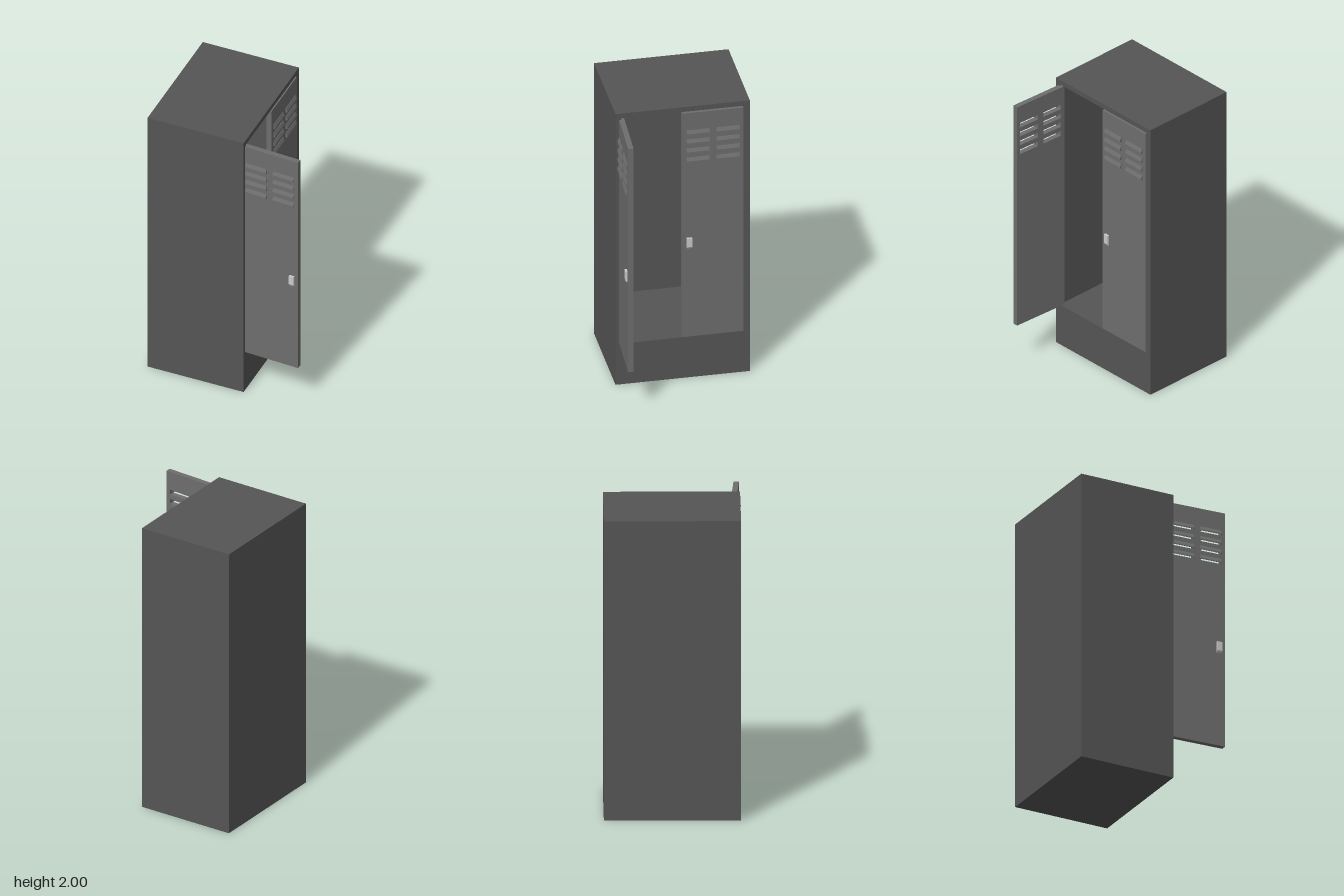
import * as THREE from 'three';

const paint = (color) => new THREE.MeshStandardMaterial({ color });
const bodyMat = paint(0x555555);
const doorMat = paint(0x6e6e6e);
const handleMat = paint(0xcccccc);

const DOOR = { width: 0.4, bottom: 0.305, top: 1.955, thick: 0.035 };

function rect(Type, x0, y0, x1, y1) {
  return new Type([[x0, y0], [x1, y0], [x1, y1], [x0, y1]].map(([x, y]) => new THREE.Vector2(x, y)));
}

// Sweeps a profile drawn in (z, y) along x, from x0 to x1
function sweepX(shape, x0, x1) {
  const geo = new THREE.ExtrudeGeometry(shape, { depth: x1 - x0, bevelEnabled: false });
  return geo.rotateY(-Math.PI / 2).translate(x1, 0, 0);
}

function add(parent, name, geometry, material) {
  const mesh = new THREE.Mesh(geometry, material);
  mesh.name = name;
  parent.add(mesh);
  return mesh;
}

// Sloping hood over a vent slot, open along its lower edge
function addHood(parent, u0, u1, y) {
  const hood = new THREE.Group();
  hood.name = 'louver';
  const shape = (pts) => new THREE.Shape(pts.map(([z, h]) => new THREE.Vector2(z, y + h)));
  const t = 0.003;
  const plate = shape([[-t, 0.035], [0.01, 0.004], [0.013, 0.004], [0.013, 0.012], [0.003, 0.035]]);
  const cheek = shape([[-t, 0], [0.013, 0.004], [0.013, 0.012], [0.003, 0.035], [-t, 0.035]]);
  add(hood, 'louverPlate', sweepX(plate, u0, u1), doorMat);
  add(hood, 'louverEnd', sweepX(cheek, u0, u0 + t), doorMat);
  add(hood, 'louverEnd', sweepX(cheek, u1 - t, u1), doorMat);
  parent.add(hood);
}

// Door runs along +x from the origin, its outer face at z = 0
function makeDoor(name, handleU) {
  const door = new THREE.Group();
  door.name = name;
  const panel = rect(THREE.Shape, 0, DOOR.bottom, DOOR.width, DOOR.top);
  for (const u of [0.027, 0.223]) {
    for (let row = 0; row < 4; row++) {
      const y = 1.592 + row * 0.067;
      panel.holes.push(rect(THREE.Path, u, y, u + 0.15, y + 0.035));
      addHood(door, u, u + 0.15, y);
    }
  }
  const geo = new THREE.ExtrudeGeometry(panel, { depth: DOOR.thick, bevelEnabled: false });
  add(door, 'doorPanel', geo.translate(0, 0, -DOOR.thick), doorMat);

  // Latch handle with a slanted lower end
  const grip = new THREE.Shape([[-0.003, 0.96], [0.009, 0.96], [0.015, 0.972], [0.015, 1.035], [-0.003, 1.035]]
    .map(([z, y]) => new THREE.Vector2(z, y)));
  add(door, 'handle', sweepX(grip, handleU - 0.017, handleU + 0.017), handleMat);
  return door;
}

export function createModel() {
  const model = new THREE.Group();
  model.name = 'locker';

  // Cabinet shell with a deep opening on its +x side, above a solid plinth
  const shell = rect(THREE.Shape, -0.445, 0, 0.435, 2);
  shell.holes.push(rect(THREE.Path, -0.406, 0.3, 0.4, 1.965));
  add(model, 'cabinetShell', sweepX(shell, -0.5, 0.145), bodyMat);
  const back = new THREE.BoxGeometry(0.03, 2, 0.88).translate(-0.513, 1, -0.005);
  add(model, 'cabinetBack', back, bodyMat);

  // Closed door fills one half of the opening
  const closed = makeDoor('closedDoor', 0.0455);
  closed.rotation.y = Math.PI / 2;
  closed.position.set(0.149, 0, -0.002);
  model.add(closed);

  // Open door swings out past a right angle
  const open = makeDoor('openDoor', DOOR.width - 0.0425);
  open.rotation.y = -0.053;
  open.position.set(0.125, 0, 0.41);
  model.add(open);

  return model;
}
